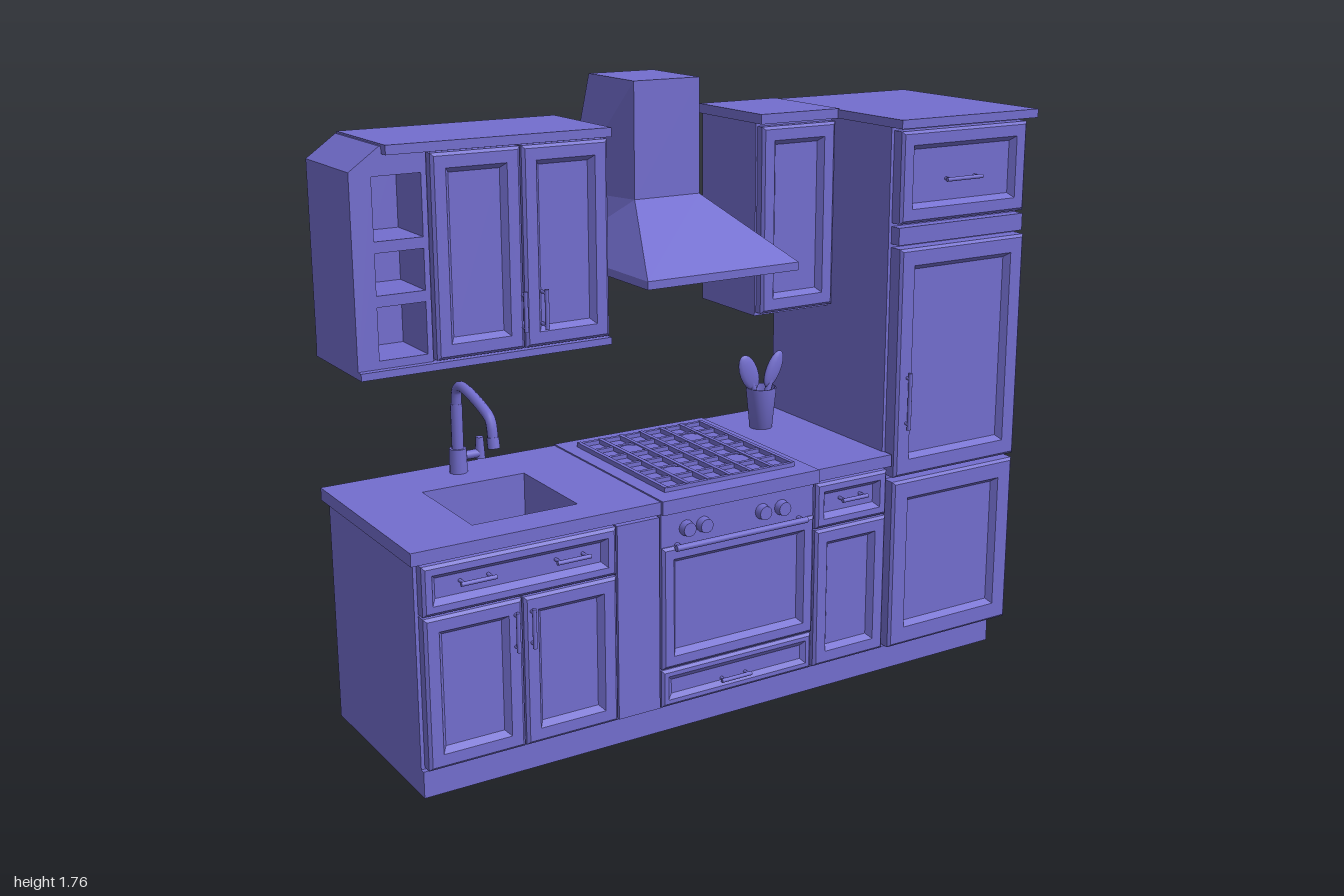
import * as THREE from 'three';

const paint = new THREE.MeshStandardMaterial({ color: 0x736ecf });
paint.name = 'violet paint';

export function createModel() {
  const root = new THREE.Group();
  root.name = 'kitchen';

  const add = (name, geo, parent = root) => {
    const m = new THREE.Mesh(geo, paint);
    m.name = name;
    parent.add(m);
    return m;
  };
  // box given by its limits on each axis
  const box = (name, x0, x1, y0, y1, z0, z1, parent) => {
    const m = add(name, new THREE.BoxGeometry(x1 - x0, y1 - y0, z1 - z0), parent);
    m.position.set((x0 + x1) / 2, (y0 + y1) / 2, (z0 + z1) / 2);
    return m;
  };
  // round bar between two points
  const bar = (name, a, b, r, r2 = r, parent = root) => {
    const p = new THREE.Vector3(...a), q = new THREE.Vector3(...b);
    const m = add(name, new THREE.CylinderGeometry(r2, r, p.distanceTo(q), 12), parent);
    m.position.copy(p).add(q).multiplyScalar(0.5);
    m.quaternion.setFromUnitVectors(new THREE.Vector3(0, 1, 0), q.sub(p).normalize());
    return m;
  };
  // flat-sided skin through rings of four corners, capped at both ends
  const loft = (rings) => {
    const pos = [];
    const quad = (a, b, c, d) => pos.push(...a, ...b, ...c, ...a, ...c, ...d);
    for (let i = 0; i + 1 < rings.length; i++) {
      for (let k = 0; k < 4; k++) {
        const n = (k + 1) % 4;
        quad(rings[i][k], rings[i][n], rings[i + 1][n], rings[i + 1][k]);
      }
    }
    const f = rings[0], l = rings[rings.length - 1];
    quad(f[3], f[2], f[1], f[0]);
    quad(l[0], l[1], l[2], l[3]);
    const g = new THREE.BufferGeometry();
    g.setAttribute('position', new THREE.Float32BufferAttribute(pos, 3));
    g.computeVertexNormals();
    return g;
  };
  // framed cabinet front with a sunken panel
  const panel = (name, x0, x1, y0, y1, z, t = 0.035, frame = 0.04, sink = 0.018) => {
    const ring = (i, zz) => [
      [x0 + i, y0 + i, zz], [x1 - i, y0 + i, zz], [x1 - i, y1 - i, zz], [x0 + i, y1 - i, zz]];
    add(name, loft([ring(0, z), ring(0, z + t - 0.007), ring(0.008, z + t),
      ring(frame, z + t), ring(frame + 0.014, z + t - sink)]));
  };
  // pull handle with two stubs, upright or level
  const handle = (x, y, z, len, upright) => {
    const g = new THREE.Group();
    g.name = 'handle';
    root.add(g);
    const d = upright ? [0, len / 2] : [len / 2, 0];
    const zf = z + 0.016;
    bar('handleGrip', [x - d[0], y - d[1], zf], [x + d[0], y + d[1], zf], 0.006, 0.006, g);
    for (const s of [-0.8, 0.8]) {
      bar('handleStub', [x + s * d[0], y + s * d[1], z - 0.02], [x + s * d[0], y + s * d[1], zf], 0.005, 0.005, g);
    }
  };
  const rect = (T, x0, x1, y0, y1) => {
    const s = new T();
    s.moveTo(x0, y0); s.lineTo(x1, y0); s.lineTo(x1, y1); s.lineTo(x0, y1); s.closePath();
    return s;
  };

  // plinth and base carcasses
  box('plinth', -0.98, 0.93, 0, 0.075, -0.31, 0.265);
  box('sinkCabinet', -0.98, -0.27, 0.07, 0.56, -0.31, 0.25);
  box('ovenBody', -0.27, 0.24, 0.07, 0.655, -0.31, 0.25);
  box('smallCabinet', 0.24, 0.51, 0.07, 0.655, -0.31, 0.25);

  // slabs around the sink basin (shape y becomes -z)
  const slab = (name, x0, x1, z0, z1, y, h) => {
    const s = rect(THREE.Shape, x0, x1, -z1, -z0);
    s.holes.push(rect(THREE.Path, -0.78, -0.47, -0.18, 0.13));
    const g = new THREE.ExtrudeGeometry(s, { depth: h, bevelEnabled: false });
    g.rotateX(-Math.PI / 2);
    add(name, g).position.y = y;
  };
  slab('sinkSurround', -0.98, -0.27, -0.31, 0.25, 0.56, 0.09);
  slab('countertop', -1, -0.27, -0.315, 0.288, 0.65, 0.036);
  box('countertopRight', 0.24, 0.51, 0.65, 0.686, -0.315, 0.288);
  box('cooktop', -0.275, 0.242, 0.65, 0.69, -0.315, 0.3);

  // cooktop grate
  for (let i = 0; i < 7; i++) {
    const x = -0.225 + i * 0.07, z = -0.25 + i * 0.08;
    box('grateBar', x - 0.006, x + 0.006, 0.688, 0.704, -0.255, 0.235);
    box('grateBar', -0.23, 0.2, 0.688, 0.702, z - 0.006, z + 0.006);
  }
  for (const x of [-0.12, 0.09]) {
    for (const z of [-0.13, 0.11]) bar('burner', [x, 0.688, z], [x, 0.7, z], 0.045, 0.035);
  }

  // sink cabinet fronts
  panel('sinkDrawer', -0.97, -0.41, 0.505, 0.64, 0.25, 0.035, 0.026);
  panel('sinkDoor', -0.97, -0.693, 0.08, 0.5, 0.25);
  panel('sinkDoor', -0.688, -0.41, 0.08, 0.5, 0.25);
  box('fillerPanel', -0.406, -0.275, 0.08, 0.64, 0.25, 0.28);
  for (const x of [-0.82, -0.545]) handle(x, 0.58, 0.28, 0.1, false);
  for (const x of [-0.715, -0.668]) handle(x, 0.415, 0.285, 0.11, true);

  // oven
  box('ovenControls', -0.27, 0.236, 0.55, 0.65, 0.25, 0.28);
  panel('ovenDoor', -0.27, 0.236, 0.195, 0.55, 0.25, 0.04, 0.035);
  for (const x of [-0.19, -0.135, 0.06, 0.125]) bar('ovenKnob', [x, 0.595, 0.27], [x, 0.595, 0.302], 0.024, 0.02);
  bar('ovenHandle', [-0.235, 0.55, 0.302], [0.2, 0.55, 0.302], 0.009);
  for (const x of [-0.22, 0.185]) bar('ovenHandleStub', [x, 0.55, 0.27], [x, 0.55, 0.302], 0.008);
  panel('ovenDrawer', -0.27, 0.236, 0.08, 0.19, 0.25, 0.035, 0.02, 0.01);
  handle(-0.03, 0.12, 0.278, 0.1, false);

  // narrow cabinet fronts
  panel('smallDrawer', 0.246, 0.5, 0.505, 0.64, 0.25, 0.035, 0.026);
  panel('smallDoor', 0.246, 0.5, 0.08, 0.5, 0.25);
  handle(0.375, 0.58, 0.28, 0.09, false);

  // tall cabinet
  box('tallCabinet', 0.505, 0.98, 0.07, 1.632, -0.31, 0.25);
  panel('tallLowerDoor', 0.515, 0.975, 0.08, 0.6, 0.25, 0.045, 0.055);
  panel('tallMiddleDoor', 0.515, 0.975, 0.615, 1.29, 0.25, 0.048, 0.05);
  box('tallRail', 0.515, 0.975, 1.3, 1.35, 0.25, 0.285);
  panel('tallUpperDoor', 0.515, 0.975, 1.36, 1.62, 0.25, 0.04, 0.04);
  handle(0.55, 0.845, 0.297, 0.17, true);
  handle(0.74, 1.475, 0.278, 0.13, false);
  box('tallCornice', 0.5, 1, 1.63, 1.655, -0.315, 0.303);

  // right wall cabinet
  box('rightWallCabinet', 0.24, 0.505, 1.07, 1.632, -0.31, -0.03);
  panel('rightWallDoor', 0.245, 0.5, 1.08, 1.62, -0.03, 0.03);
  box('rightWallCornice', 0.232, 0.505, 1.63, 1.658, -0.315, 0.008);

  // left wall cabinet
  box('leftWallCabinet', -0.78, -0.257, 1.065, 1.632, -0.31, -0.03);
  box('leftWallBase', -0.99, -0.255, 1.058, 1.078, -0.312, 0);
  panel('leftWallDoor', -0.775, -0.521, 1.082, 1.624, -0.03, 0.03);
  panel('leftWallDoor', -0.516, -0.26, 1.082, 1.624, -0.03, 0.03);
  for (const x of [-0.525, -0.462]) handle(x, 1.185, 0, 0.11, true);
  box('leftWallCornice', -0.9, -0.253, 1.63, 1.655, -0.315, 0.008);

  // open end shelves with a clipped top corner
  const end = (holes) => {
    const s = new THREE.Shape();
    [[-0.99, 1.07], [-0.78, 1.07], [-0.78, 1.65], [-0.905, 1.65], [-0.99, 1.59]]
      .forEach(([x, y], i) => (i ? s.lineTo(x, y) : s.moveTo(x, y)));
    s.closePath();
    if (holes) {
      for (const [y0, y1] of [[1.1, 1.24], [1.27, 1.38], [1.41, 1.575]]) {
        s.holes.push(rect(THREE.Path, -0.93, -0.795, y0, y1));
      }
    }
    return new THREE.ExtrudeGeometry(s, { depth: holes ? 0.16 : 0.13, bevelEnabled: false });
  };
  add('endShelfBack', end(false)).position.z = -0.31;
  add('endShelves', end(true)).position.z = -0.18;

  // extractor hood, counter-clockwise rings from bottom to top
  const hoodRing = (x0, x1, y, zf, back = x0) => [[x0, y, zf], [x1, y, zf], [x1, y, -0.315], [back, y, -0.315]];
  add('extractorHood', loft([
    hoodRing(-0.252, 0.237, 1.245, 0.19),
    hoodRing(-0.252, 0.237, 1.268, 0.19),
    hoodRing(-0.14, 0.072, 1.44, -0.065, -0.212),
    hoodRing(-0.14, 0.072, 1.765, -0.065)]));

  // tap
  const tap = new THREE.Group();
  tap.name = 'tap';
  tap.position.set(-0.62, 0.686, -0.24);
  root.add(tap);
  bar('tapFoot', [0, 0, 0], [0, 0.07, 0], 0.026, 0.024, tap);
  bar('tapStem', [0, 0.06, 0], [0, 0.2, 0], 0.017, 0.017, tap);
  const spout = new THREE.CatmullRomCurve3([[0, 0.19, 0], [0, 0.245, 0.01], [0, 0.258, 0.04],
    [0, 0.225, 0.18], [0, 0.205, 0.215], [0, 0.14, 0.23]].map((p) => new THREE.Vector3(...p)));
  add('tapSpout', new THREE.TubeGeometry(spout, 24, 0.015, 10), tap);
  bar('tapNozzle', [0, 0.16, 0.226], [0, 0.13, 0.232], 0.017, 0.017, tap);
  bar('tapArm', [0, 0.045, 0], [0.065, 0.045, 0], 0.013, 0.013, tap);
  bar('tapLever', [0.068, 0.03, 0], [0.068, 0.092, 0], 0.015, 0.011, tap);

  // utensil pot
  const pot = new THREE.Group();
  pot.name = 'utensilPot';
  pot.position.set(0.35, 0.686, -0.15);
  root.add(pot);
  add('pot', new THREE.LatheGeometry([[0, 0], [0.035, 0], [0.047, 0.125], [0.041, 0.125], [0.034, 0.02], [0, 0.02]]
    .map((p) => new THREE.Vector2(...p)), 16), pot);
  for (const [x, tilt, w] of [[-0.045, 0.4, 0.032], [0.045, -0.45, 0.026]]) {
    bar('utensilStick', [0, 0.03, 0], [x, 0.18, 0], 0.01, 0.01, pot);
    const head = add('utensilHead', new THREE.SphereGeometry(1, 14, 10), pot);
    head.scale.set(w, 0.06, 0.012);
    head.position.set(x, 0.176, 0);
    head.rotation.z = tilt;
  }
  return root;
}
